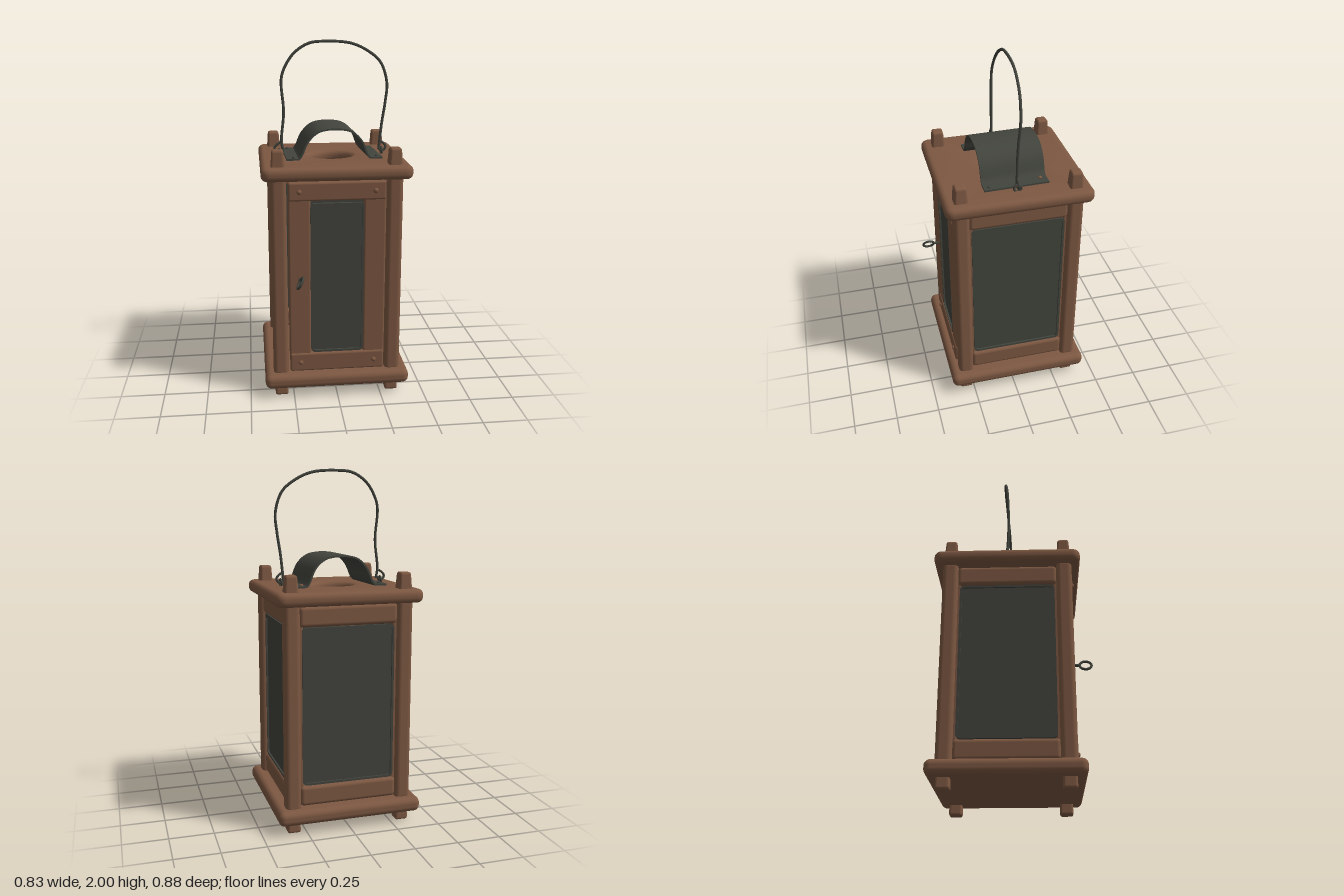
import * as THREE from 'three';
import { toCreasedNormals } from 'three/addons/utils/BufferGeometryUtils.js';
import { RoundedBoxGeometry } from 'three/addons/geometries/RoundedBoxGeometry.js';

const material = (name, color) => {
  const m = new THREE.MeshStandardMaterial({ color });
  m.name = name;
  return m;
};

export function createModel() {
  const wood = material('wood', 0x7d5842);
  const metal = material('dark metal', 0x42443d);
  const glass = material('smoky glass', 0x42443d);
  const model = new THREE.Group();
  model.name = 'lantern';
  const body = new THREE.Group();
  body.name = 'body';
  body.position.z = -0.027;
  model.add(body);

  const add = (parent, name, geo, mat, x = 0, y = 0, z = 0) => {
    const mesh = new THREE.Mesh(geo, mat);
    mesh.name = name;
    mesh.position.set(x, y, z);
    parent.add(mesh);
    return mesh;
  };
  const block = (parent, name, w, h, d, r, x, y, z) =>
    add(parent, name, new RoundedBoxGeometry(w, h, d, 3, r), wood, x, y, z);
  const roundedRect = (w, h, r, C = THREE.Shape) => {
    const s = new C(), x = w / 2, y = h / 2;
    s.moveTo(-x + r, -y);
    s.lineTo(x - r, -y).quadraticCurveTo(x, -y, x, -y + r);
    s.lineTo(x, y - r).quadraticCurveTo(x, y, x - r, y);
    s.lineTo(-x + r, y).quadraticCurveTo(-x, y, -x, y - r);
    s.lineTo(-x, -y + r).quadraticCurveTo(-x, -y, -x + r, -y);
    return s;
  };

  // Base board, and roof board with a smoke hole
  block(body, 'baseBoard', 0.83, 0.085, 0.825, 0.035, 0, 0.103, 0);
  const bevel = 0.03;
  const roofShape = roundedRect(0.83 - 2 * bevel, 0.825 - 2 * bevel, 0.02);
  const hole = new THREE.Path();
  hole.absarc(0, 0, 0.15, 0, Math.PI * 2, true);
  roofShape.holes.push(hole);
  const roof = new THREE.ExtrudeGeometry(roofShape, {
    depth: 0.015, bevelThickness: bevel, bevelSize: bevel, bevelSegments: 4, curveSegments: 20,
  });
  roof.rotateX(-Math.PI / 2);
  add(body, 'roofBoard', toCreasedNormals(roof, 0.6), wood, 0, 1.275 + bevel, 0);

  // Corner posts with tapered pegs above and feet below
  const peg = (name, h, taper, x, y, z) => {
    const geo = new RoundedBoxGeometry(0.08, h, 0.08, 3, 0.014);
    const p = geo.attributes.position;
    for (let i = 0; i < p.count; i++) {
      const k = 1 - taper * (p.getY(i) / h + 0.5);
      p.setX(i, p.getX(i) * k);
      p.setZ(i, p.getZ(i) * k);
    }
    geo.computeVertexNormals();
    return add(body, name, geo, wood, x, y, z);
  };
  for (const sx of [-1, 1]) for (const sz of [-1, 1]) {
    block(body, 'cornerPost', 0.088, 1.17, 0.088, 0.026, sx * 0.322, 0.71, sz * 0.32);
    peg('postPeg', 0.12, 0.22, sx * 0.322, 1.38, sz * 0.32).rotation.y = sx * sz * 0.04;
    peg('foot', 0.1, 0.08, sx * 0.32, 0.05, sz * 0.32).scale.set(0.95, 1, 0.95);
  }

  // Pane with a raised rounded rim, facing +z
  const pane = (parent, w, h, x, y, z) => {
    add(parent, 'pane', new THREE.ExtrudeGeometry(roundedRect(w, h, 0.03),
      { depth: 0.008, bevelEnabled: false }), glass, x, y, z - 0.008);
    const ring = roundedRect(w, h, 0.03);
    ring.holes.push(roundedRect(w - 0.025, h - 0.025, 0.022, THREE.Path));
    add(parent, 'paneRim', new THREE.ExtrudeGeometry(ring,
      { depth: 0.014, bevelEnabled: false }), metal, x, y, z - 0.004);
  };

  // Left, right and back walls: two rails, slim stiles and a wide pane
  for (const [name, turn] of [['leftWall', 1], ['backWall', 2], ['rightWall', 3]]) {
    const wall = new THREE.Group();
    wall.name = name;
    wall.rotation.y = turn * Math.PI / 2;
    body.add(wall);
    block(wall, 'upperRail', 0.56, 0.115, 0.06, 0.022, 0, 1.215, 0.318);
    block(wall, 'lowerRail', 0.56, 0.115, 0.06, 0.022, 0, 0.205, 0.318);
    for (const s of [-1, 1]) block(wall, 'slimStile', 0.03, 0.95, 0.035, 0.008, s * 0.272, 0.71, 0.315);
    pane(wall, 0.53, 0.89, 0, 0.71, 0.328);
  }

  // Front door
  const door = new THREE.Group();
  door.name = 'door';
  body.add(door);
  for (const [y, h] of [[1.213, 0.105], [0.208, 0.11]]) {
    block(door, 'doorRail', 0.54, h, 0.05, 0.012, 0, y, 0.345);
    for (const s of [-1, 1]) {
      const nail = add(door, 'doorNail', new THREE.SphereGeometry(0.014, 12, 8), wood, s * 0.21, y, 0.371);
      nail.scale.z = 0.8;
    }
  }
  for (const s of [-1, 1]) block(door, 'doorStile', 0.124, 0.93, 0.045, 0.012, s * 0.21, 0.71, 0.34);
  pane(door, 0.3, 0.88, 0, 0.705, 0.352);
  block(door, 'doorFrameTop', 0.56, 0.03, 0.03, 0.006, 0, 1.265, 0.325);

  // Door ring on a short stem
  const pull = new THREE.Group();
  pull.name = 'doorRing';
  pull.position.set(-0.212, 0.713, 0.401);
  pull.rotation.z = -0.5;
  model.add(pull);
  add(pull, 'ring', new THREE.TorusGeometry(0.033, 0.007, 8, 24), metal).rotation.y = Math.PI / 2;
  add(pull, 'ringStem', new THREE.CylinderGeometry(0.008, 0.008, 0.045, 8), metal, 0, 0, -0.05)
    .rotation.x = Math.PI / 2;

  // Arched sheet-metal hood with nailed flanges
  const hood = new THREE.Group();
  hood.name = 'hood';
  hood.position.z = -0.026;
  hood.rotation.y = 0.03;
  model.add(hood);
  const arch = new THREE.SplineCurve([
    [-0.2, 1.352], [-0.18, 1.378], [-0.15, 1.445], [-0.1, 1.497], [-0.04, 1.515], [0.04, 1.515],
    [0.1, 1.498], [0.15, 1.45], [0.18, 1.378], [0.2, 1.352],
  ].map(([x, y]) => new THREE.Vector2(x, y))).getPoints(40);
  const line = [new THREE.Vector2(-0.272, 1.351), ...arch, new THREE.Vector2(0.272, 1.351)];
  const upper = line.map((p, i) => {
    const a = line[Math.max(i - 1, 0)], b = line[Math.min(i + 1, line.length - 1)];
    const t = b.clone().sub(a).normalize();
    return new THREE.Vector2(p.x - t.y * 0.01, p.y + t.x * 0.01);
  });
  const sheet = new THREE.ExtrudeGeometry(new THREE.Shape([...line, ...upper.reverse()]),
    { depth: 0.365, bevelEnabled: false });
  add(hood, 'hoodSheet', toCreasedNormals(sheet, 0.5), metal, 0, 0, -0.1825);
  for (const [x, z, mat] of [[-0.24, -0.145, metal], [0.222, -0.145, wood], [-0.228, 0.155, metal], [0.245, 0.15, metal]])
    add(hood, 'hoodNail', new THREE.SphereGeometry(0.011, 10, 8), mat, x, 1.363, z).scale.y = 0.7;

  // Bent wire handle
  const wire = new THREE.CatmullRomCurve3([
    [-0.275, 1.375, -0.026], [-0.285, 1.43, -0.026], [-0.27, 1.6, -0.022], [-0.28, 1.79, -0.028],
    [-0.25, 1.87, -0.034], [-0.2, 1.935, -0.042], [-0.12, 1.983, -0.048], [-0.03, 1.993, -0.05],
    [0.12, 1.982, -0.047], [0.22, 1.937, -0.042], [0.29, 1.875, -0.036], [0.327, 1.76, -0.03],
    [0.318, 1.65, -0.024], [0.3, 1.53, -0.024], [0.285, 1.38, -0.028],
  ].map((p) => new THREE.Vector3(...p)));
  add(model, 'handleWire', new THREE.TubeGeometry(wire, 90, 0.008, 8), metal);

  // Staples and the hooked wire ends that pass through them
  for (const s of [-1, 1]) {
    add(model, 'staple', new THREE.TorusGeometry(0.02, 0.007, 8, 18), metal, s * 0.3, 1.365, -0.028)
      .rotation.y = Math.PI / 2;
    const hook = new THREE.CatmullRomCurve3([[0.28, 1.385], [0.295, 1.368], [0.315, 1.37], [0.326, 1.39], [0.312, 1.41], [0.29, 1.425]]
      .map(([x, y]) => new THREE.Vector3(s * x, y, -0.028)));
    add(model, 'wireHook', new THREE.TubeGeometry(hook, 16, 0.007, 7), metal);
  }
  return model;
}
